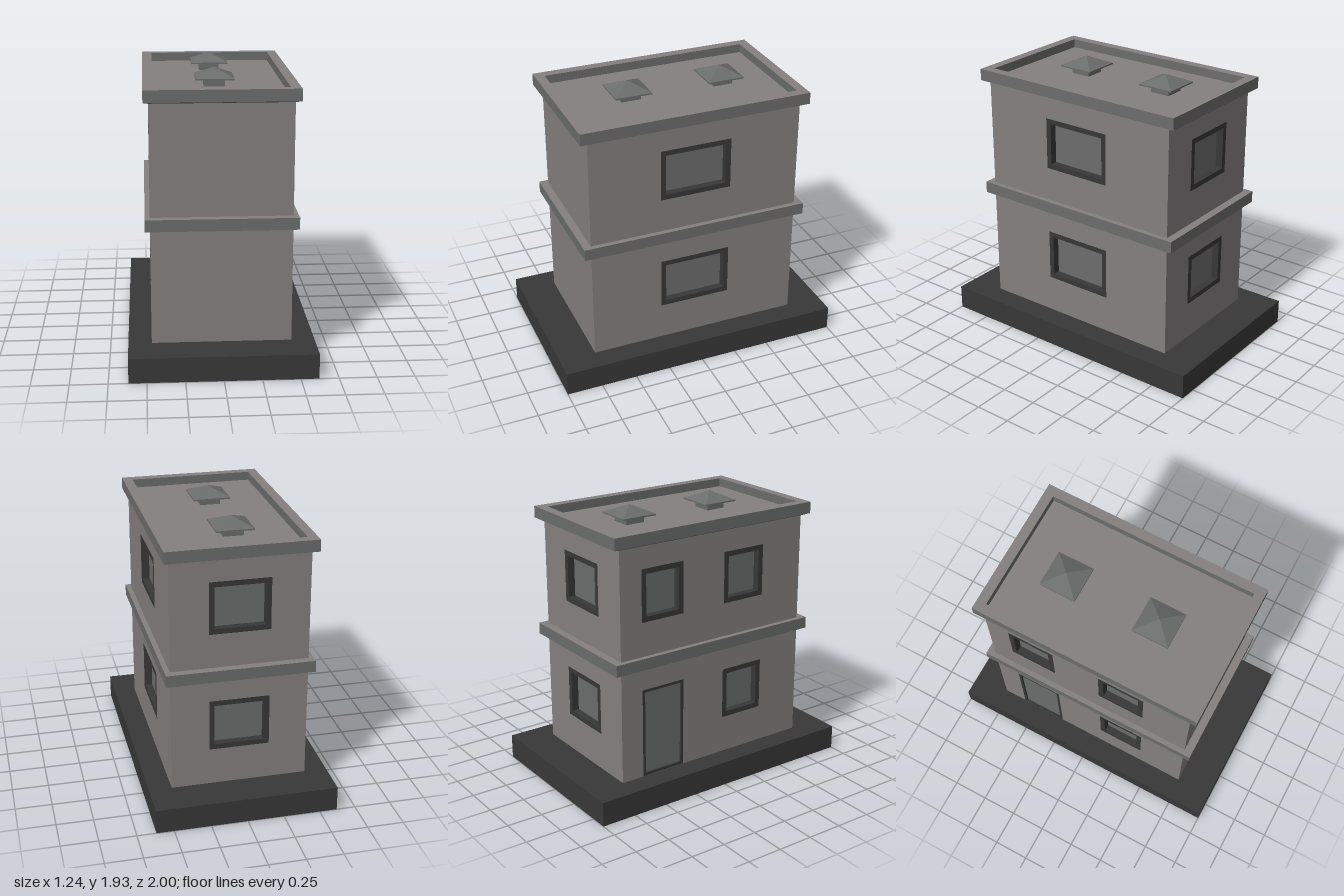
import * as THREE from 'three';

const mat = (color, side = THREE.FrontSide) =>
  new THREE.MeshStandardMaterial({ color, side, flatShading: true });
const wallMat = mat(0x858080);
const trimMat = mat(0x6b6d6c);
const darkMat = mat(0x383838);

function add(parent, name, geometry, material, x = 0, y = 0, z = 0) {
  const mesh = new THREE.Mesh(geometry, material);
  mesh.name = name;
  mesh.position.set(x, y, z);
  parent.add(mesh);
  return mesh;
}

// Rectangle outline from its corners
function rect(Type, x0, y0, x1, y1) {
  const p = new Type();
  p.moveTo(x0, y0).lineTo(x1, y0).lineTo(x1, y1).lineTo(x0, y1).closePath();
  return p;
}

const W = 0.465, D = 0.745;      // half size of the body
const GROUND = 0.17, TOP = 1.8;

// Frame set flush in the wall, with a pane set back inside it
function addOpening(parent, o) {
  const { u, y0, y1, half, border, inset, name } = o;
  const ring = rect(THREE.Shape, u - half, y0, u + half, y1);
  ring.holes.push(rect(THREE.Path, u - half + border, y0 + border, u + half - border, y1 - border));
  const frame = new THREE.ExtrudeGeometry(ring, { depth: 0.06, bevelEnabled: false });
  add(parent, name + 'Frame', frame, darkMat, 0, 0, -0.06);
  const pane = new THREE.PlaneGeometry(2 * (half - border), y1 - y0 - 2 * border);
  add(parent, name + 'Pane', pane, trimMat, u, (y0 + y1) / 2, -inset);
}

// Wall panel with its openings, turned to face outwards
function addWall(parent, name, half, distance, angle, openings) {
  const wall = new THREE.Group();
  wall.name = name;
  const shape = rect(THREE.Shape, -half, GROUND, half, TOP);
  for (const o of openings) {
    shape.holes.push(rect(THREE.Path, o.u - o.half, o.y0, o.u + o.half, o.y1));
    addOpening(wall, o);
  }
  add(wall, name + 'Panel', new THREE.ShapeGeometry(shape), wallMat);
  wall.rotation.y = angle;
  wall.position.set(Math.sin(angle) * distance, 0, Math.cos(angle) * distance);
  parent.add(wall);
}

// Cornice: upright band over a shallow tapered underside
function addCornice(parent, name, y, holeX, holeZ) {
  const shape = rect(THREE.Shape, -0.5, -0.8, 0.5, 0.8);
  shape.holes.push(rect(THREE.Path, -holeX, -holeZ, holeX, holeZ));
  const band = new THREE.ExtrudeGeometry(shape, { depth: 0.08, bevelEnabled: false });
  band.rotateX(-Math.PI / 2);
  add(parent, name + 'Band', band, [wallMat, trimMat], 0, y + 0.015, 0);

  const skirt = new THREE.BoxGeometry(1, 0.015, 1.6);
  const p = skirt.attributes.position;
  for (let i = 0; i < p.count; i++) {
    if (p.getY(i) < 0) {
      p.setX(i, Math.sign(p.getX(i)) * W);
      p.setZ(i, Math.sign(p.getZ(i)) * D);
    }
  }
  skirt.computeVertexNormals();
  add(parent, name + 'Underside', skirt, trimMat, 0, y + 0.0075, 0);
}

// Roof vent: stem, thin eave and pyramid cap
function addVent(parent, z) {
  const vent = new THREE.Group();
  vent.name = 'roofVent';
  add(vent, 'ventStem', new THREE.BoxGeometry(0.14, 0.06, 0.14), trimMat, 0, 1.84, 0);
  add(vent, 'ventEave', new THREE.BoxGeometry(0.256, 0.01, 0.256), trimMat, 0, 1.87, 0);
  const cap = new THREE.ConeGeometry(0.128 * Math.SQRT2, 0.06, 4);
  cap.rotateY(Math.PI / 4);
  add(vent, 'ventCap', cap, trimMat, 0, 1.905, 0);
  vent.position.set(-0.025, 0, z);
  parent.add(vent);
}

export function createModel() {
  const model = new THREE.Group();
  model.name = 'house';

  // Foundation
  add(model, 'foundation', new THREE.BoxGeometry(1.24, GROUND, 2), darkMat, 0, GROUND / 2, 0);

  // Walls with windows on both floors
  const floors = [[0.43, 0.79], [1.27, 1.63]];
  const win = (floor, u, half) => ({
    name: 'window', u, half, y0: floors[floor][0], y1: floors[floor][1], border: 0.036, inset: 0.05,
  });
  const door = {
    name: 'door', u: -0.415, half: 0.165, y0: GROUND + 0.002, y1: 0.8, border: 0.02, inset: 0.012,
  };
  addWall(model, 'frontWall', W, D, 0, []);
  addWall(model, 'leftWall', D, W, Math.PI / 2, [win(0, 0, 0.25), win(1, 0, 0.25)]);
  addWall(model, 'backWall', W, D, Math.PI, [win(0, 0, 0.205), win(1, 0, 0.205)]);
  addWall(model, 'rightWall', D, W, -Math.PI / 2,
    [door, win(0, 0.25, 0.165), win(1, -0.415, 0.165), win(1, 0.25, 0.165)]);

  // Cornices and sunken roof
  addCornice(model, 'middleCornice', 0.94, W, D);
  addCornice(model, 'roofCornice', 1.78, 0.433, 0.733);
  const roof = new THREE.PlaneGeometry(0.9, 1.5).rotateX(-Math.PI / 2);
  add(model, 'roofFloor', roof, wallMat, 0, 1.815, 0);

  for (const z of [0.29, -0.377]) addVent(model, z);

  return model;
}
